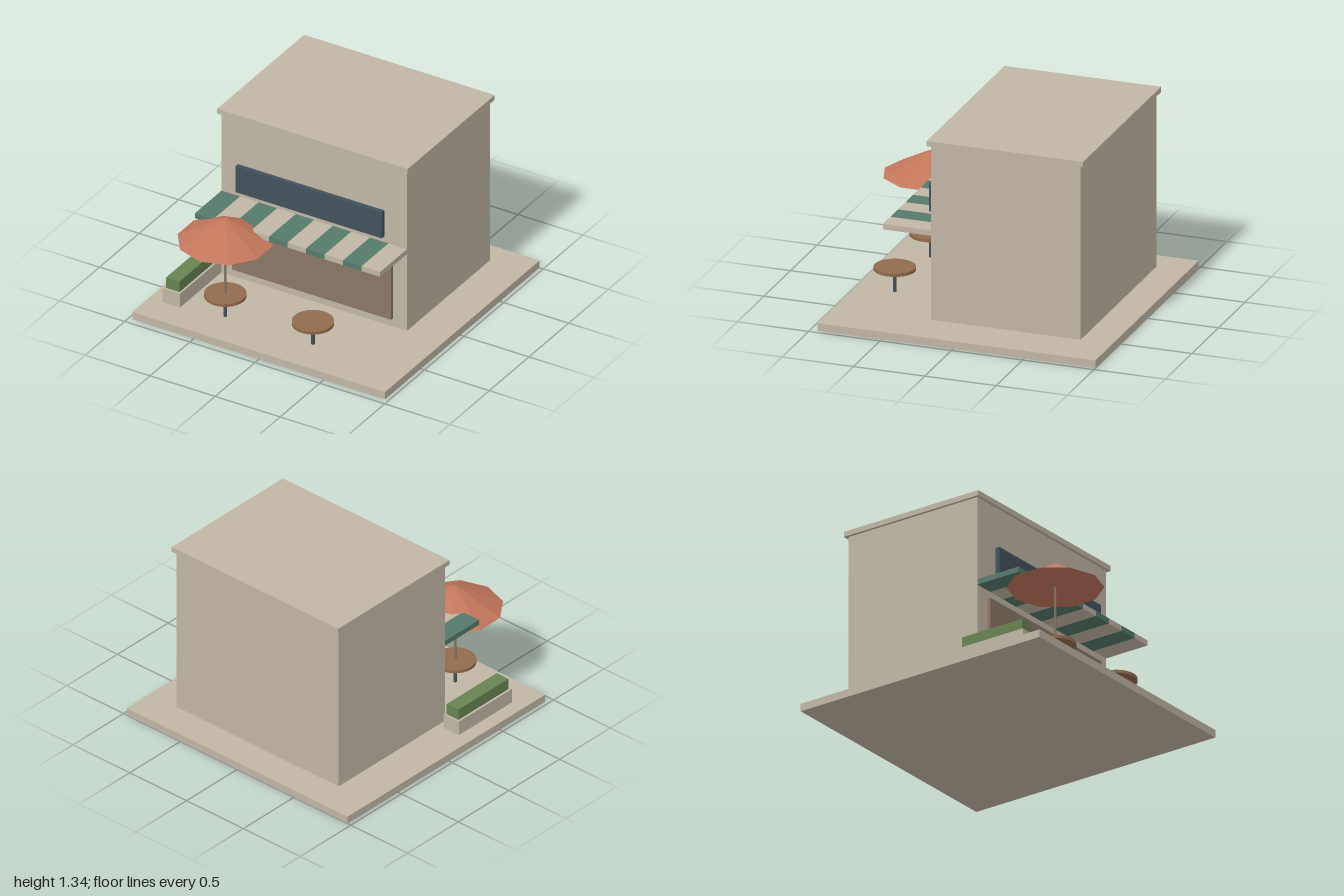
import * as THREE from 'three';

const paint = (name, hex) => {
  const m = new THREE.MeshStandardMaterial({ color: hex });
  m.name = name;
  return m;
};

export function createModel() {
  const stone = paint('stone', 0xc0b6a4);
  const wood = paint('table wood', 0x916b4d);
  const brown = paint('shopfront brown', 0x8b7766);
  const slate = paint('slate', 0x42525b);
  const green = paint('awning green', 0x567a6b);
  const leaf = paint('hedge green', 0x688352);
  const terracotta = paint('terracotta', 0xc2765b);
  terracotta.flatShading = true;

  const model = new THREE.Group();
  model.name = 'cafe';

  const add = (parent, name, geometry, material) => {
    const mesh = new THREE.Mesh(geometry, material);
    mesh.name = name;
    parent.add(mesh);
    return mesh;
  };
  // Box given by its limits on each axis
  const box = (parent, name, material, [x0, x1], [y0, y1], [z0, z1]) =>
    add(parent, name, new THREE.BoxGeometry(x1 - x0, y1 - y0, z1 - z0), material)
      .position.set((x0 + x1) / 2, (y0 + y1) / 2, (z0 + z1) / 2);
  // Upright round part between two heights
  const round = (parent, name, material, rTop, rBottom, y0, y1, sides) =>
    add(parent, name, new THREE.CylinderGeometry(rTop, rBottom, y1 - y0, sides), material)
      .position.y = (y0 + y1) / 2;

  // Ground slab and building
  box(model, 'groundSlab', stone, [-0.972, 0.972], [0, 0.055], [-1, 0.95]);
  box(model, 'building', stone, [-0.713, 0.713], [0.08, 1.305], [-0.8, 0.25]);
  box(model, 'roof', stone, [-0.733, 0.733], [1.305, 1.342], [-0.825, 0.272]);
  box(model, 'shopfront', brown, [-0.613, 0.613], [0.152, 0.602], [0.26, 0.285]);
  box(model, 'signBoard', slate, [-0.563, 0.563], [0.78, 0.98], [0.289, 0.32]);

  // Striped awning
  const awning = new THREE.Group();
  awning.name = 'awning';
  model.add(awning);
  const stripe = 1.426 / 10;
  for (let i = 0; i < 10; i++) {
    const x = -0.713 + i * stripe;
    box(awning, 'awningStripe', i % 2 ? stone : green, [x, x + stripe], [0.67, 0.708], [0.25, 0.587]);
  }

  // Planter with hedge
  box(model, 'planter', stone, [-0.87, -0.735], [0.055, 0.16], [0.212, 0.737]);
  box(model, 'hedge', leaf, [-0.853, -0.75], [0.16, 0.24], [0.227, 0.72]);

  // Tables, the right-hand one with a parasol
  for (const x of [-0.425, 0.25]) {
    const table = new THREE.Group();
    table.name = 'table';
    table.position.set(x, 0, 0.675);
    model.add(table);
    round(table, 'tableLeg', slate, 0.0125, 0.0125, 0.055, 0.21, 12);
    round(table, 'tableTop', wood, 0.14, 0.14, 0.21, 0.232, 28);
    if (x < 0) {
      round(table, 'parasolPole', brown, 0.0075, 0.0075, 0.232, 0.65, 10);
      round(table, 'parasolCanopy', terracotta, 0.02, 0.322, 0.64, 0.8, 10);
    }
  }
  return model;
}
